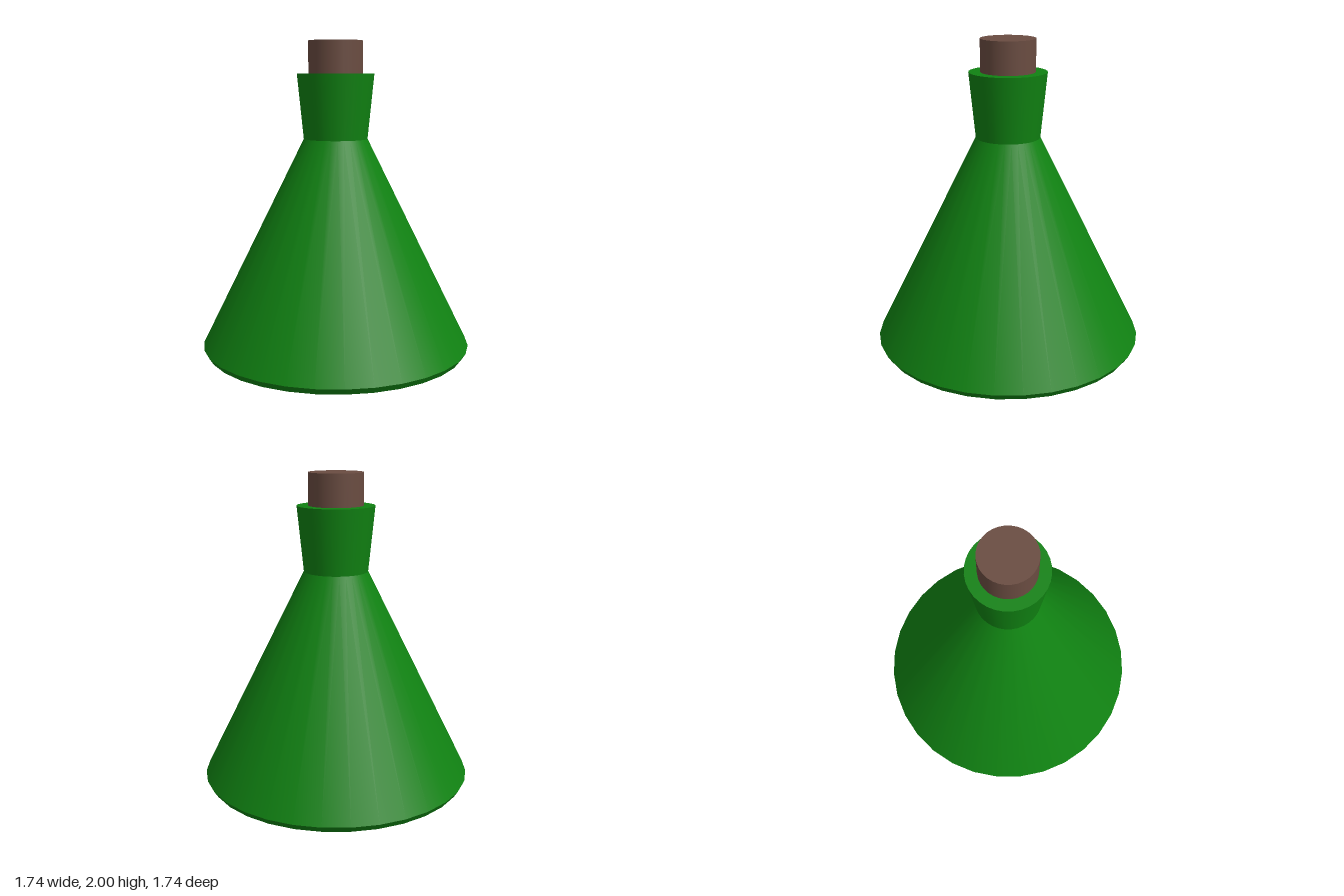
import * as THREE from 'three';

const SIDES = 32;

export function createModel() {
  const group = new THREE.Group();
  const glass = new THREE.MeshStandardMaterial({ name: 'green glass', color: 0x108212 });
  const corkBrown = new THREE.MeshStandardMaterial({ name: 'cork brown', color: 0x6a4c41 });

  // Round section between two heights, closed at the ends unless open
  function section(name, material, rBottom, rTop, y0, y1, open = false) {
    const geometry = new THREE.CylinderGeometry(rTop, rBottom, y1 - y0, SIDES, 1, open);
    const mesh = new THREE.Mesh(geometry, material);
    mesh.name = name;
    mesh.position.y = (y0 + y1) / 2;
    group.add(mesh);
  }

  // Bevelled foot and conical body
  section('foot', glass, 0.845, 0.87, 0, 0.04);
  section('body', glass, 0.87, 0.205, 0.04, 1.38, true);

  // Flared neck with a flat rim
  section('neck', glass, 0.205, 0.247, 1.38, 1.795);

  // Stopper
  section('cork', corkBrown, 0.174, 0.174, 1.7, 2);

  return group;
}
